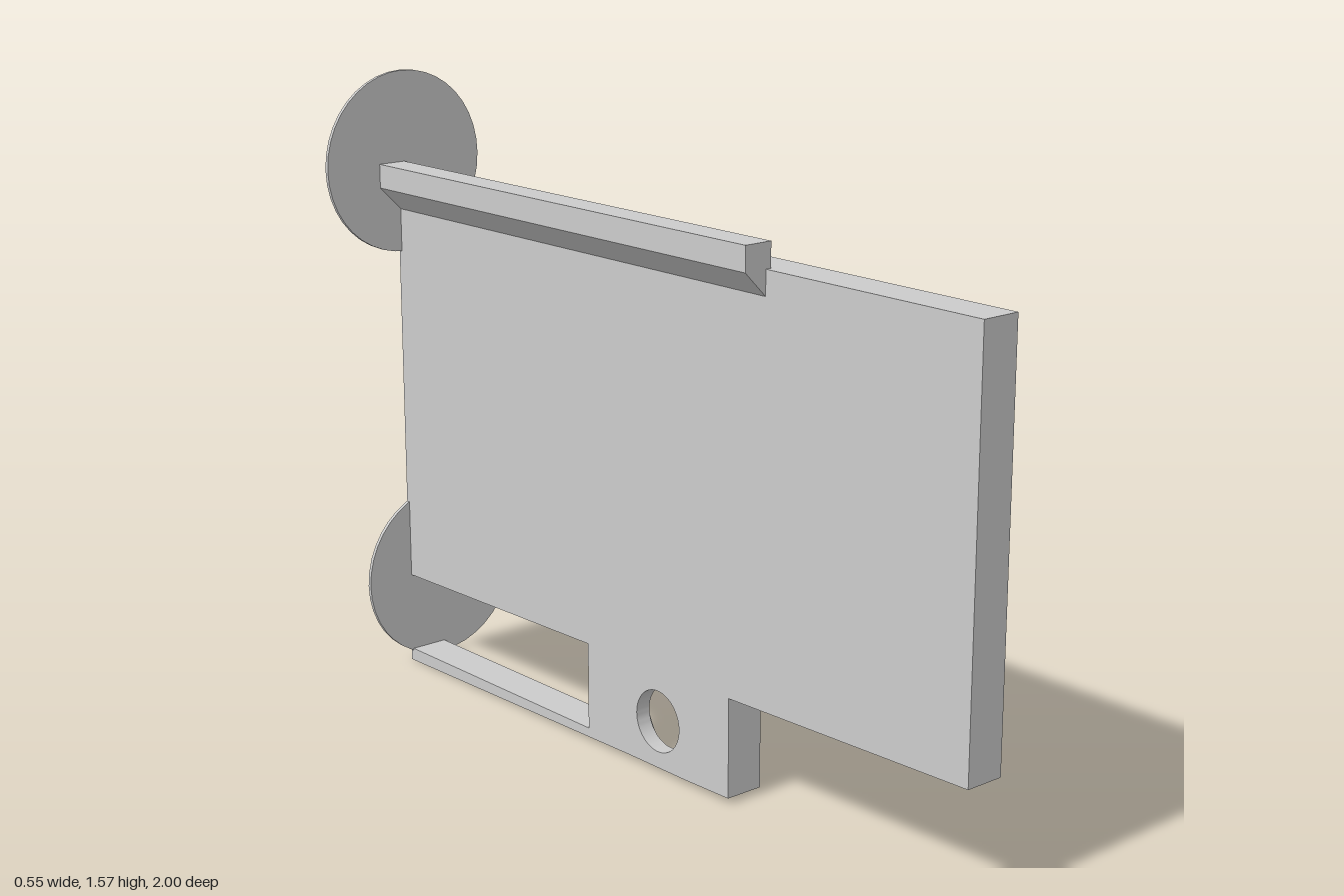
import * as THREE from 'three';
import { toCreasedNormals } from 'three/addons/utils/BufferGeometryUtils.js';

const material = new THREE.MeshStandardMaterial({ color: 0xcccccc });

function addPart(group, name, geometry) {
  const mesh = new THREE.Mesh(toCreasedNormals(geometry, 0.5), material);
  mesh.name = name;
  group.add(mesh);
  return mesh;
}

// Side profile drawn as (-z, y), extruded from x0 to x1
function sideSlab(shape, x0, x1) {
  return new THREE.ExtrudeGeometry(shape, { depth: x1 - x0, bevelEnabled: false, curveSegments: 32 })
    .rotateY(Math.PI / 2)
    .translate(x0, 0, 0);
}

export function createModel() {
  const group = new THREE.Group();
  const left = -0.06, right = 0.04, boreFloor = -0.02;
  const bore = { u: -0.01, y: 0.13, r: 0.155, hole: 0.077, a: -0.865 };

  // Upright plate with lower block, open rear window and bore cut through the bottom edge
  const plate = new THREE.Shape();
  plate.moveTo(-1, 1.28);
  plate.lineTo(-1, 0.28);
  plate.lineTo(-0.26, 0.262);
  plate.lineTo(-0.26, 0.015);
  plate.absarc(bore.u, bore.y, bore.r, Math.PI - bore.a, bore.a, true);
  plate.lineTo(1, 0);
  plate.lineTo(1, 0.033);
  plate.lineTo(0.25, 0.033);
  plate.lineTo(0.25, 0.253);
  plate.lineTo(1, 0.24);
  plate.lineTo(1, 1.28);
  addPart(group, 'plate', sideSlab(plate, left, right));

  // Thin floor of the counterbore with its through hole
  const web = new THREE.Shape();
  web.absarc(bore.u, bore.y, bore.r, bore.a, Math.PI - bore.a, false);
  web.closePath();
  const hole = new THREE.Path();
  hole.absarc(bore.u, bore.y, bore.hole, 0, Math.PI * 2, true);
  web.holes.push(hole);
  addPart(group, 'counterboreFloor', sideSlab(web, left, boreFloor));

  // Chamfered rail along the upper edge
  const rail = new THREE.Shape([
    [-0.12, 1.34], [-0.12, 1.28], [-0.06, 1.22], [-0.06, 1.28], [-0.045, 1.28], [-0.045, 1.34],
  ].map(([x, y]) => new THREE.Vector2(x, y)));
  addPart(group, 'topRail',
    new THREE.ExtrudeGeometry(rail, { depth: 1.37, bevelEnabled: false }).translate(0, 0, -1));

  // Thin round pads on the rear end
  for (const [name, x, y] of [['upperPad', -0.045, 1.34], ['lowerPad', 0.04, 0.235]]) {
    const pad = addPart(group, name, new THREE.CylinderGeometry(0.23, 0.23, 0.01, 40).rotateX(Math.PI / 2));
    pad.position.set(x, y, -0.995);
  }
  return group;
}
